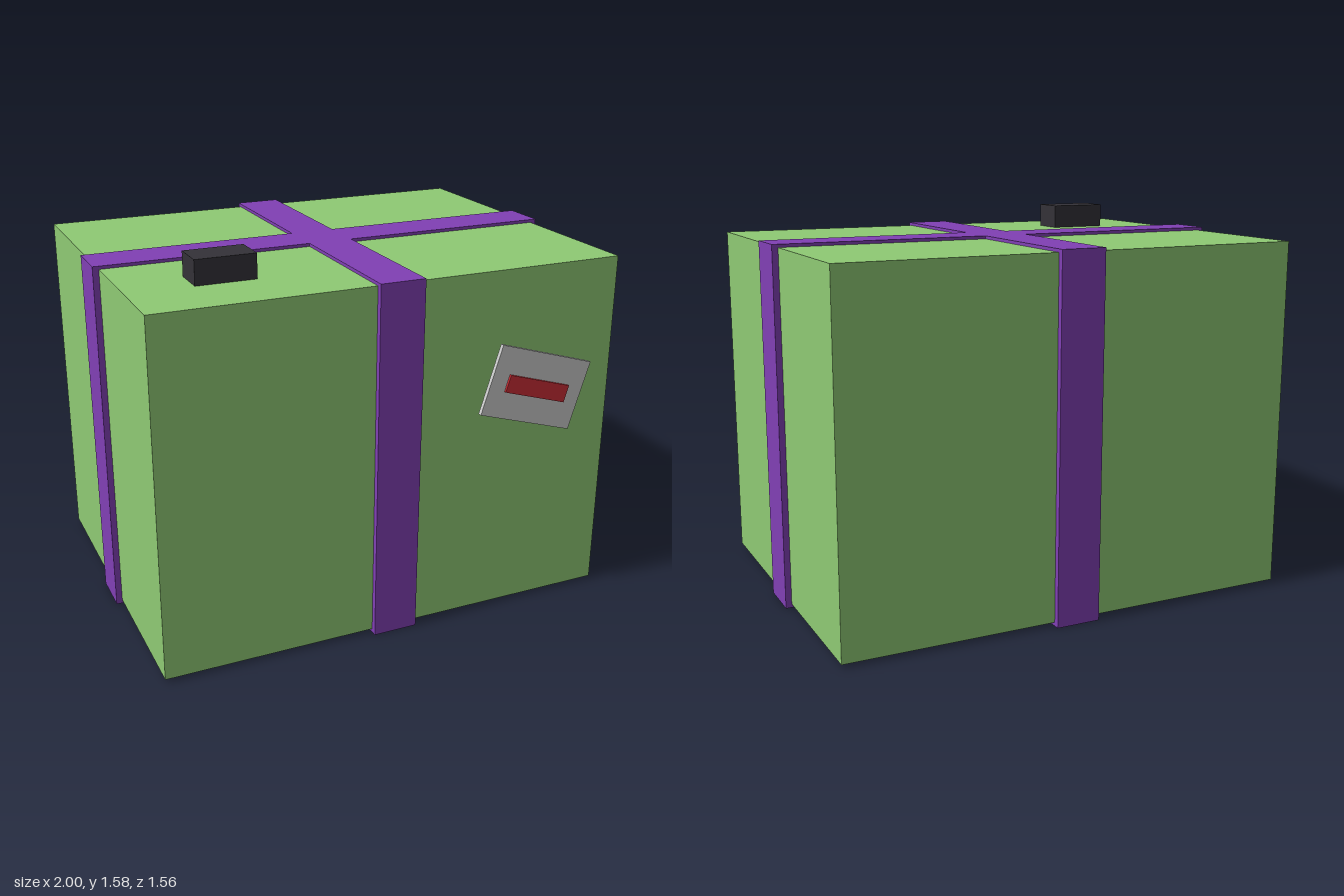
import * as THREE from 'three';

const paint = (color) => new THREE.MeshStandardMaterial({ color });

// Box given by its lower and upper corners
function block(name, material, min, max) {
  const size = max.map((v, i) => v - min[i]);
  const mesh = new THREE.Mesh(new THREE.BoxGeometry(...size), material);
  mesh.position.set(...max.map((v, i) => (v + min[i]) / 2));
  mesh.name = name;
  return mesh;
}

export function createModel() {
  const model = new THREE.Group();
  model.name = 'giftBox';
  const green = paint(0x8fca74);
  const purple = paint(0x8140b5);
  const black = paint(0x343238);
  const grey = paint(0xcccccc);
  const red = paint(0xcc2d36);

  // Wrapped box
  model.add(block('box', green, [-0.975, 0.015, -0.755], [0.975, 1.475, 0.705]));

  // Two crossing ribbons, each wrapped all the way round
  model.add(block('ribbonFrontToBack', purple, [-0.095, 0, -0.78], [0.092, 1.488, 0.73]));
  model.add(block('ribbonSideToSide', purple, [-1, 0, -0.122], [1, 1.488, 0.07]));

  // Small dark block on the lid
  model.add(block('topBlock', black, [-0.71, 1.475, 0.295], [-0.465, 1.575, 0.44]));

  // Tilted tag floating in front, with a raised red strip
  const tag = new THREE.Group();
  tag.name = 'tag';
  tag.position.set(0.585, 0.99, 0);
  tag.rotation.z = -0.3;
  tag.add(block('tagPlate', grey, [-0.218, -0.146, 0.75], [0.218, 0.146, 0.768]));
  tag.add(block('tagStrip', red, [-0.145, -0.036, 0.768], [0.145, 0.036, 0.778]));
  model.add(tag);

  return model;
}
